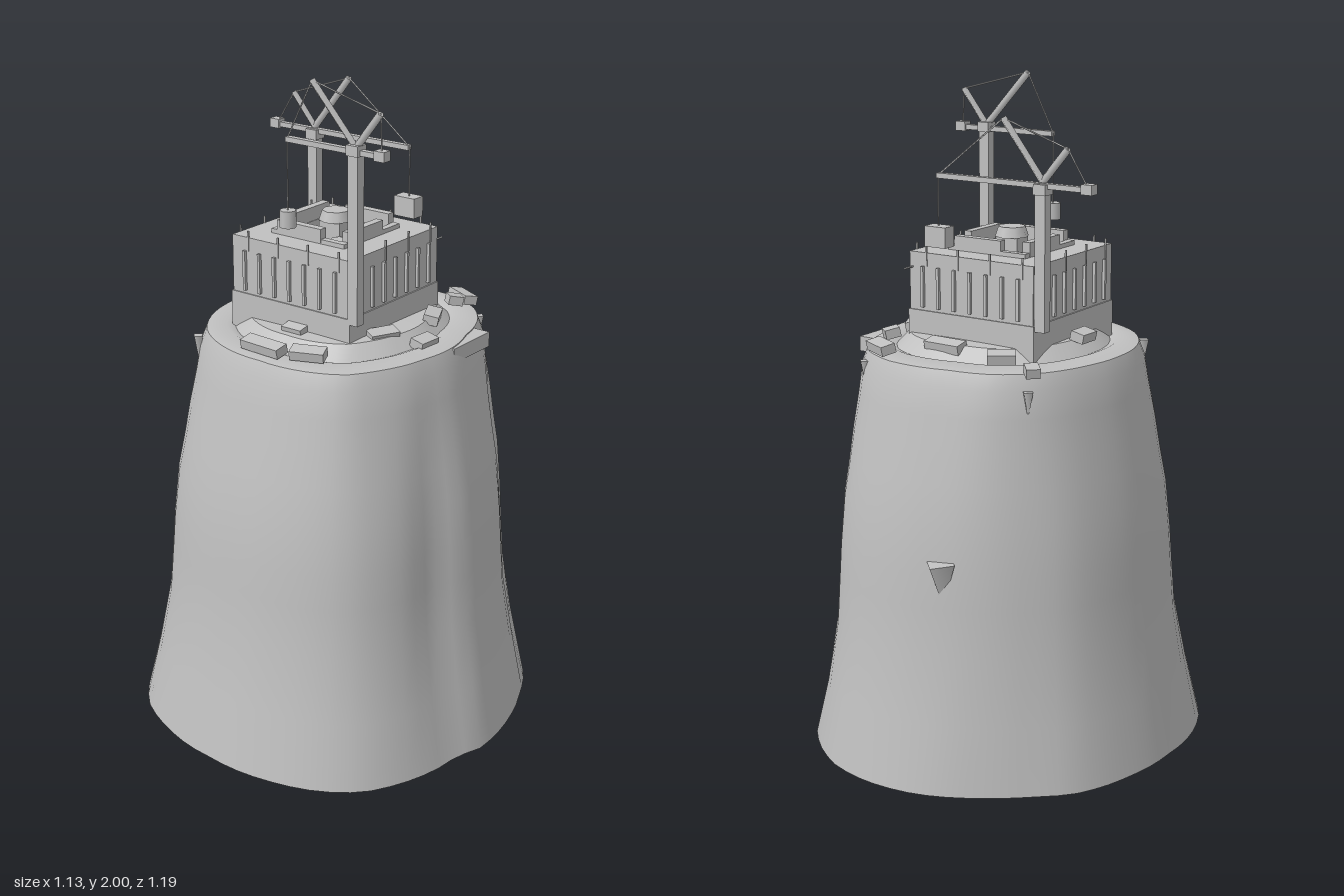
import * as THREE from 'three';
import { toCreasedNormals } from 'three/addons/utils/BufferGeometryUtils.js';

export function createModel() {
  const model = new THREE.Group();
  const stone = new THREE.MeshStandardMaterial({ color: 0xc0c0c0 });
  stone.name = 'pale stone';
  const dark = new THREE.MeshStandardMaterial({ color: 0x0c0c0c });
  dark.name = 'dark courtyard';

  function add(name, geo, x = 0, y = 0, z = 0, parent = model, mat = stone) {
    const m = new THREE.Mesh(geo, mat);
    m.name = name;
    m.position.set(x, y, z);
    parent.add(m);
    return m;
  }
  const box = (name, w, h, d, x, y, z, parent, mat) =>
    add(name, new THREE.BoxGeometry(w, h, d), x, y, z, parent, mat);

  // Square bar between two points
  function bar(name, a, b, r, parent) {
    const p = new THREE.Vector3(...a), q = new THREE.Vector3(...b);
    const m = add(name, new THREE.CylinderGeometry(r, r, p.distanceTo(q), 4), 0, 0, 0, parent);
    m.position.copy(p).lerp(q, 0.5);
    m.quaternion.setFromUnitVectors(new THREE.Vector3(0, 1, 0), q.sub(p).normalize());
  }

  // Rock: plan outlines (x, z) of the foot and the plateau
  const foot = [[.56, -.03], [.56, .09], [.53, .12], [.52, .24], [.42, .455], [.315, .53], [.16, .58],
    [-.05, .59], [-.26, .55], [-.405, .48], [-.5, .375], [-.56, .205], [-.565, .05], [-.54, -.13],
    [-.5, -.25], [-.46, -.32], [-.37, -.4], [-.25, -.49], [-.075, -.575], [.1, -.59], [.23, -.56],
    [.335, -.495], [.43, -.4], [.49, -.28], [.54, -.14]];
  const rim = [[.385, -.03], [.375, .105], [.33, .25], [.27, .345], [.175, .39], [0, .405], [-.185, .37],
    [-.3, .295], [-.39, .145], [-.41, 0], [-.39, -.14], [-.325, -.29], [-.22, -.38], [-.08, -.41],
    [.13, -.415], [.24, -.36], [.3, -.29], [.355, -.14]];
  const TAU = Math.PI * 2;
  const polar = (loop) => loop.map(([x, z]) => [(Math.atan2(z, x) + TAU) % TAU, Math.hypot(x, z)])
    .sort((a, b) => a[0] - b[0]);
  function radiusAt(pts, t) {
    const n = pts.length;
    for (let i = 0; i < n; i++) {
      const [a0, r0] = pts[i], next = pts[(i + 1) % n];
      const span = (next[0] - a0 + TAU) % TAU, off = (t - a0 + TAU) % TAU;
      if (off <= span) return r0 + (next[1] - r0) * off / span;
    }
    return pts[0][1];
  }
  const footP = polar(foot), rimP = polar(rim);

  // Each level: height, blend from rim to foot, scale
  const levels = [[0, 1, 0], [0, 1, 1], [.2, .8, 1], [.4, .62, 1], [.55, .56, 1], [.65, .52, 1], [.8, .43, 1],
    [.9, .32, 1], [1, .22, 1], [1.1, .1, 1], [1.18, .02, 1], [1.225, 0, .965], [1.235, 0, .82],
    [1.225, 0, .76], [1.265, 0, .66], [1.275, 0, 0]];
  const N = 64, pos = [], idx = [];
  const bump = (t, c, w) => {
    const d = (t - c + 3 * Math.PI) % TAU - Math.PI;
    return Math.exp(-d * d / (w * w));
  };
  levels.forEach(([y, k, s], i) => {
    for (let j = 0; j < N; j++) {
      const t = j / N * TAU;
      let r = radiusAt(rimP, t) * (1 - k) + radiusAt(footP, t) * k;
      // weathered gullies on the flank
      const mid = Math.sin(Math.PI * Math.min(1, y / 1.15));
      r -= mid * (.035 * bump(t, 5.55, .13) + .02 * bump(t, .35, .15) + .015 * bump(t, 2.5, .2));
      pos.push(Math.cos(t) * r * s, y, Math.sin(t) * r * s);
      if (i < levels.length - 1) {
        const a = i * N + j, b = i * N + (j + 1) % N;
        if (i > 0) idx.push(a, a + N, b);
        if (i < levels.length - 2) idx.push(b, a + N, b + N);
      }
    }
  });
  const rock = new THREE.BufferGeometry();
  rock.setAttribute('position', new THREE.Float32BufferAttribute(pos, 3));
  rock.setIndex(idx);
  add('rockPillar', toCreasedNormals(rock, 0.6));

  // Overhanging ledge and small hanging spurs
  const ledge = add('rockLedge', new THREE.ConeGeometry(.05, .14, 4), -.11, .62, -.475);
  ledge.rotation.x = Math.PI - .1;
  for (const [x, y, z] of [[-.31, 1.165, .3], [-.3, 1.14, -.325], [.24, 1.16, -.36]]) {
    add('rockSpur', new THREE.ConeGeometry(.018, .08, 4), x, y, z).rotation.x = Math.PI;
  }
  box('rimBlock', .07, .045, .18, .345, 1.2, -.115);

  // Loose slabs around the plateau: x, z, length, height
  for (const [x, z, len, y] of [[-.2, -.305, .08, 1.26], [.01, -.28, .12, 1.26], [.18, -.36, .1, 1.25],
    [.235, -.12, .09, 1.265], [.215, .1, .09, 1.265], [.125, .325, .1, 1.255], [-.02, .345, .14, 1.25],
    [-.285, -.01, .07, 1.275], [.305, .02, .075, 1.24], [0, .225, .07, 1.27], [-.31, -.32, .04, 1.24],
    [.21, -.27, .04, 1.27]]) {
    const s = box('looseSlab', len, .028, .045, x, y, z);
    s.rotation.order = 'YXZ';
    s.rotation.set(.2, Math.atan2(x, z), 0);
  }

  // Fort: square frames with an open court
  const fort = new THREE.Group();
  fort.name = 'fort';
  fort.position.set(-.032, 0, -.002);
  model.add(fort);
  const square = (Type, r) =>
    new Type([[-r, -r], [r, -r], [r, r], [-r, r]].map((p) => new THREE.Vector2(...p)));
  function frame(name, outer, inner, y0, y1) {
    const shape = square(THREE.Shape, outer);
    shape.holes.push(square(THREE.Path, inner));
    const g = new THREE.ExtrudeGeometry(shape, { depth: y1 - y0, bevelEnabled: false });
    g.rotateX(-Math.PI / 2);
    add(name, g, 0, y0, 0, fort);
  }
  frame('plinth', .217, .11, 1.2, 1.335);
  frame('outerWall', .213, .11, 1.335, 1.505);
  frame('innerParapet', .133, .112, 1.505, 1.518);
  for (let i = 0; i < 4; i++) {
    const side = new THREE.Group();
    side.name = 'wallSide';
    side.rotation.y = i * Math.PI / 2;
    fort.add(side);
    box('raisedParapet', .16, .04, .025, -.03, 1.528, .122, side);
    // wall ribs, some rising above the roof as posts
    for (let j = 0; j < 7; j++) {
      const x = -.165 + j * .055;
      box('wallRib', .009, .12, .012, x, 1.405, .216, side);
      if (j % 2 === 0) box('roofPost', .005, .06, .005, x + .012, 1.495, .213, side);
    }
  }

  // Court: dark floor, corner turrets and the central keep
  box('courtFloor', .222, .01, .222, 0, 1.4, 0, fort, dark);
  for (const x of [-1, 1]) for (const z of [-1, 1]) {
    box('cornerPad', .07, .05, .07, x * .062, 1.43, z * .058, fort);
    add('turret', new THREE.CylinderGeometry(.03, .034, .08, 8), x * .058, 1.46, z * .054, fort);
  }
  box('keepBody', .075, .14, .06, 0, 1.47, 0, fort);
  add('keepTop', new THREE.CylinderGeometry(.04, .05, .03, 8), 0, 1.553, 0, fort);
  bar('sideRod', [.17, 1.46, -.21], [.17, 1.46, -.255], .003, model);

  // Cranes: all points lie in one upright plane
  function crane(name, z, c) {
    const g = new THREE.Group();
    g.name = name;
    g.position.z = z;
    model.add(g);
    const [mx, top] = c.mast;
    const link = (part, a, b, r) => bar(part, [...a, 0], [...b, 0], r, g);
    box('mast', .034, top - 1.32, .03, mx, (top + 1.32) / 2, 0, g);
    box('mastCap', .04, .03, .04, mx, top, 0, g);
    box('jib', Math.abs(c.tail - c.tip), .015, .018, (c.tail + c.tip) / 2, c.jibY, 0, g);
    box('counterweight', .034, .028, .03, c.tail, c.jibY + .002, 0, g);
    for (const end of [c.high, c.low]) link('strut', [mx, c.jibY + .01], end, .011);
    const tip = [c.tip, c.jibY], tail = [c.tail, c.jibY];
    for (const [a, b] of [[c.high, tip], [c.high, c.low], [c.low, tail], [tip, [c.tip, c.loadY]]])
      link('cable', a, b, .0025);
    return g;
  }
  const tall = crane('tallCrane', .2, { mast: [.195, 1.82], jibY: 1.815, tip: -.045, tail: .282,
    high: [.045, 1.99], low: [.277, 1.93], loadY: 1.6 });
  add('hangingBucket', new THREE.CylinderGeometry(.024, .024, .05, 8), -.045, 1.585, 0, tall);
  const low = crane('lowCrane', -.2, { mast: [-.265, 1.72], jibY: 1.73, tip: .088, tail: -.412,
    high: [-.135, 1.905], low: [-.345, 1.835], loadY: 1.57 });
  box('hangingCrate', .072, .06, .045, .086, 1.555, 0, low);

  return model;
}
